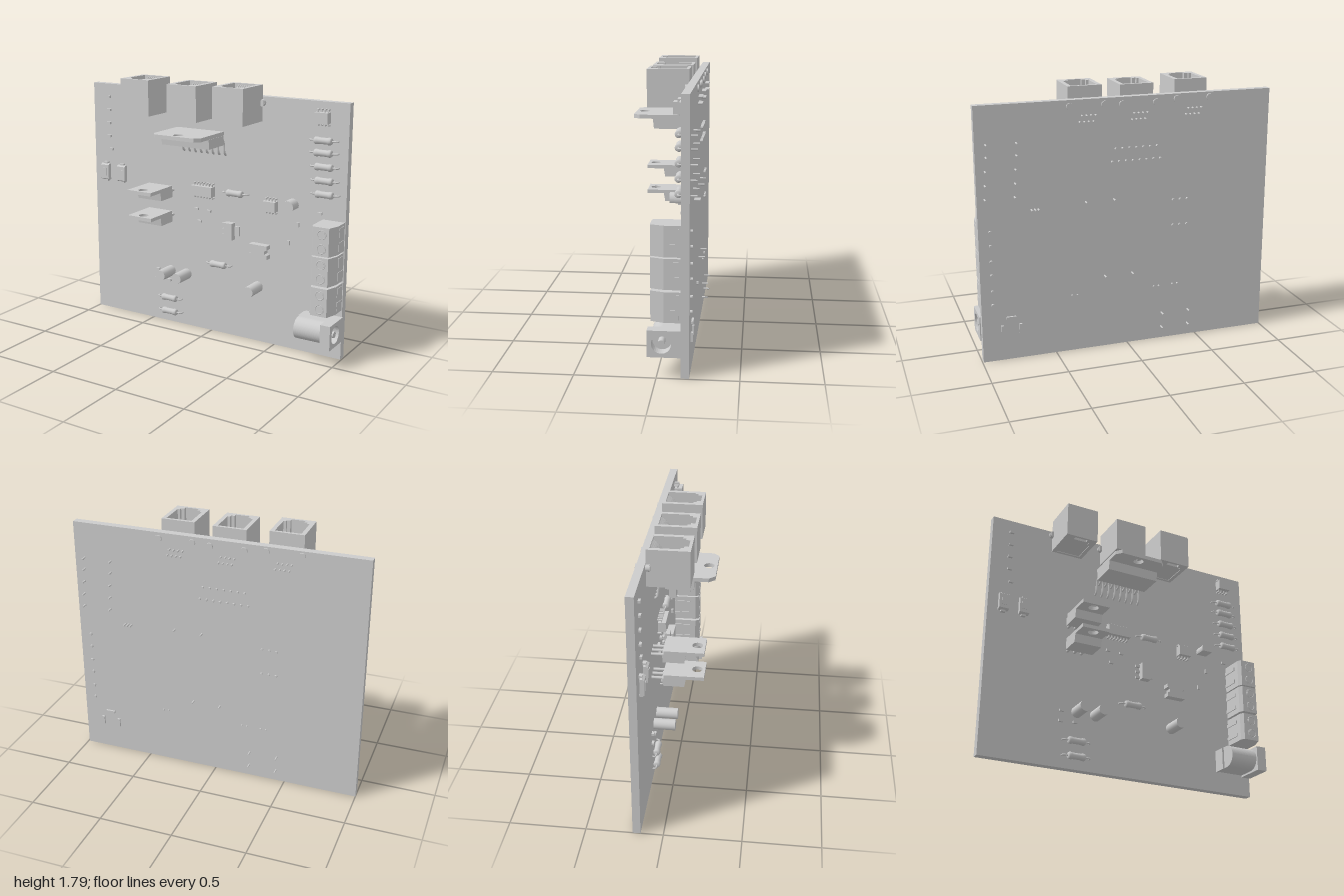
import * as THREE from 'three';

const grey = new THREE.MeshStandardMaterial({ color: 0xcccccc });
grey.name = 'light grey';

const FACE = -0.146, BACK = -0.197; // front and back of the board

export function createModel() {
  const root = new THREE.Group();
  root.name = 'circuitBoard';

  const add = (name, geo) => {
    const m = new THREE.Mesh(geo, grey);
    m.name = name;
    root.add(m);
    return m;
  };
  const box = (name, x0, x1, y0, y1, z0, z1) =>
    add(name, new THREE.BoxGeometry(x1 - x0, y1 - y0, z1 - z0))
      .position.set((x0 + x1) / 2, (y0 + y1) / 2, (z0 + z1) / 2);
  // cylinder between two points
  const rod = (name, a, b, r, n = 12) => {
    const p = new THREE.Vector3(...a), q = new THREE.Vector3(...b), d = q.clone().sub(p);
    const m = add(name, new THREE.CylinderGeometry(r, r, d.length(), n));
    m.position.copy(p).add(q).multiplyScalar(0.5);
    m.quaternion.setFromUnitVectors(new THREE.Vector3(0, 1, 0), d.normalize());
  };
  const pin = (x, y, z = -0.238, r = 0.006) => rod('solderPin', [x, y, BACK + 0.01], [x, y, z], r, 8);
  const poly = pts => new THREE.Shape(pts.map(p => new THREE.Vector2(...p)));
  const circle = (x, y, r) => new THREE.Path().absarc(x, y, r, 0, Math.PI * 2);
  const opts = depth => ({ depth, bevelEnabled: false, curveSegments: 16 });
  // shape drawn as (x, -z), raised from y0 to y1
  const upright = (name, shape, x, y0, y1) =>
    add(name, new THREE.ExtrudeGeometry(shape, opts(y1 - y0)).rotateX(-Math.PI / 2)).position.set(x, y0, 0);
  // shape drawn as (-z, y), running from x0 to x1
  const sideways = (name, shape, x0, x1) =>
    add(name, new THREE.ExtrudeGeometry(shape, opts(x1 - x0)).rotateY(Math.PI / 2)).position.set(x0, 0, 0);
  const tube = (name, pts, r) => add(name, new THREE.TubeGeometry(
    new THREE.CatmullRomCurve3(pts.map(p => new THREE.Vector3(...p))), 10, r, 6));

  box('board', -1, 0.993, 0, 1.703, BACK, FACE);

  // Modular sockets, open at the top
  for (const [x, y0, y1] of [[-0.452, 1.545, 1.787], [-0.079, 1.535, 1.773], [0.269, 1.54, 1.78]]) {
    const s = poly([[-0.113, 0.145], [-0.113, -0.12], [0.113, -0.12], [0.113, 0.145]]);
    s.holes.push(poly([[-0.085, 0.125], [0.085, 0.125], [0.085, -0.055], [0.068, -0.055], [0.068, -0.075],
      [0.045, -0.075], [0.045, -0.102], [-0.045, -0.102], [-0.045, -0.075], [-0.068, -0.075],
      [-0.068, -0.055], [-0.085, -0.055]]));
    upright('socketShell', s, x, y0, y1);
    box('socketFloor', x - 0.086, x + 0.086, y0 + 0.004, y0 + 0.05, -0.126, 0.07);
    for (let i = 0; i < 8; i++) {
      const px = x - 0.053 + i * 0.015;
      tube('socketContact', [[px, y1 - 0.01, -0.13], [px, y1 - 0.04, -0.09], [px, y0 + 0.05, -0.01]], 0.004);
      pin(px, i % 2 ? y0 + 0.02 : y0 + 0.06, -0.225);
    }
    for (const sx of [-1, 1]) {
      box('socketLug', x + sx * 0.118 - 0.012, x + sx * 0.118 + 0.012, y1 - 0.135, y1 - 0.1, FACE, -0.115);
      rod('socketPeg', [x + sx * 0.115, y1 - 0.117, -0.12], [x + sx * 0.115, y1 - 0.117, -0.207], 0.023, 16);
    }
  }

  // Wide power driver with metal tab
  const wide = poly([[-0.184, 0.085], [-0.184, -0.2], [-0.15, -0.24], [0.15, -0.24], [0.184, -0.2], [0.184, 0.085]]);
  wide.holes.push(circle(0, -0.187, 0.034));
  upright('driverTab', wide, -0.059, 1.43, 1.456);
  sideways('driverBody', poly([[0.08, 1.43], [-0.112, 1.43], [-0.105, 1.365], [0.075, 1.365]]), -0.243, 0.127);
  for (let i = 0; i < 15; i++) {
    const x = -0.225 + i * 0.0236, long = i % 2 === 0, y = long ? 1.285 : 1.37;
    if (long) tube('driverLead', [[x, 1.4, -0.075], [x, 1.4, -0.1], [x, 1.37, -0.118], [x, 1.3, -0.13], [x, y, -0.15]], 0.008);
    else tube('driverLead', [[x, 1.4, -0.075], [x, 1.397, -0.1], [x, 1.375, -0.12], [x, y, -0.15]], 0.008);
    pin(x, y, -0.215, 0.008);
  }

  // Two regulators with drilled tabs
  for (const [y0, y1] of [[0.96, 1.042], [0.783, 0.863]]) {
    const tab = poly([[-0.096, 0.06], [-0.096, -0.198], [0.096, -0.198], [0.096, 0.06]]);
    tab.holes.push(circle(0, -0.147, 0.034));
    upright('regulatorTab', tab, -0.372, y1 - 0.024, y1);
    sideways('regulatorBody', poly([[0.07, y1 - 0.024], [-0.082, y1 - 0.024], [-0.072, y0], [0.065, y0]]), -0.468, -0.276);
    for (const dx of [-0.05, 0, 0.05]) {
      rod('regulatorLead', [-0.372 + dx, y0 + 0.03, -0.06], [-0.372 + dx, y0 + 0.03, -0.15], 0.01, 8);
      pin(-0.372 + dx, y0 + 0.03, -0.21, 0.01);
    }
  }

  // Axial resistors
  const profile = [[0, -0.061], [0.018, -0.061], [0.024, -0.053], [0.024, -0.036], [0.021, -0.03],
    [0.021, 0.03], [0.024, 0.036], [0.024, 0.053], [0.018, 0.061], [0, 0.061]].map(p => new THREE.Vector2(...p));
  for (const [x, y] of [[0.828, 1.457], [0.83, 1.378], [0.838, 1.288], [0.843, 1.198], [0.848, 1.109],
    [0.19, 1.033], [0.063, 0.508], [-0.346, 0.186], [-0.344, 0.083]]) {
    add('resistorBody', new THREE.LatheGeometry(profile, 14).rotateZ(Math.PI / 2)).position.set(x, y, -0.124);
    for (const s of [-1, 1]) {
      tube('resistorLead', [[x + s * 0.055, y, -0.124], [x + s * 0.085, y, -0.124], [x + s * 0.096, y, -0.13], [x + s * 0.096, y, -0.15]], 0.006);
      pin(x + s * 0.096, y);
    }
  }

  // Integrated circuits with pins along both long sides
  for (const [x, y, w, n] of [[0.823, 1.604, 0.09, 4], [-0.057, 1.023, 0.166, 7], [0.466, 0.984, 0.092, 4]]) {
    box('chipBody', x - w / 2, x + w / 2, y - 0.035, y + 0.035, -0.14, -0.088);
    for (let i = 0; i < n; i++) {
      const px = x + (i - (n - 1) / 2) * 0.0235;
      for (const s of [-1, 1]) {
        const e = y + s * 0.042;
        box('chipPinTop', px - 0.005, px + 0.005, e - 0.01, e + 0.01, -0.122, -0.114);
        box('chipPinLeg', px - 0.005, px + 0.005, e + s * 0.008 - 0.004, e + s * 0.008 + 0.004, FACE, -0.114);
      }
    }
  }

  // Half-round transistor
  const half = new THREE.Shape().absarc(0, 0, 0.042, -0.4, Math.PI + 0.4);
  half.closePath();
  add('transistorBody', new THREE.ExtrudeGeometry(half, opts(0.085))).position.set(0.624, 1.012, -0.133);
  for (const dx of [-0.022, 0, 0.022]) {
    rod('transistorLead', [0.624 + dx, 1.015, -0.13], [0.624 + dx, 1.015, -0.15], 0.006, 8);
    pin(0.624 + dx, 1.015);
  }

  // Upright round capacitors
  for (const [x, y] of [[-0.343, 0.39], [-0.208, 0.388], [0.367, 0.396]]) {
    rod('capacitor', [x, y, FACE], [x, y, 0], 0.038, 24);
    for (const s of [-1, 1]) pin(x + s * 0.018, y, -0.21);
  }

  // Surface diodes with tapered bodies
  for (const x of [-0.896, -0.753]) {
    sideways('diodeBody', poly([[0.14, 1.003], [0.125, 1.003], [0.11, 1.012], [0.11, 1.113], [0.125, 1.122], [0.14, 1.122]]), x - 0.034, x + 0.034);
    box('diodeCap', x - 0.018, x + 0.018, 1.035, 1.09, -0.112, -0.106);
    for (const y of [0.998, 1.127]) box('diodeTerminal', x - 0.016, x + 0.016, y - 0.008, y + 0.008, FACE, -0.124);
  }

  // Tiny chip parts: centre and whether upright
  for (const [x, y, v] of [[-0.865, 1.61], [-0.865, 1.515], [-0.867, 1.42], [-0.865, 1.325], [-0.85, 1.23],
    [-0.122, 0.882], [-0.022, 0.877], [-0.098, 0.795], [-0.452, 0.385], [-0.458, 0.312], [-0.355, 0.317],
    [0.814, 0.977], [0.662, 0.88, 1], [0.595, 0.745, 1]]) {
    const a = v ? 0.008 : 0.015, b = v ? 0.015 : 0.008;
    box('chipPart', x - a, x + a, y - b, y + b, FACE, -0.13);
  }

  // Three-legged surface regulator
  box('smallRegulator', 0.12, 0.186, 0.707, 0.825, -0.142, -0.095);
  box('smallRegulatorTab', 0.186, 0.222, 0.733, 0.8, FACE, -0.132);
  for (const y of [0.724, 0.766, 0.808]) box('smallRegulatorLeg', 0.09, 0.12, y - 0.008, y + 0.008, FACE, -0.13);

  // Notched inductor
  add('inductor', new THREE.ExtrudeGeometry(poly([[-0.068, -0.048], [0.068, -0.048], [0.068, -0.02], [0.05, -0.012],
    [0.05, 0.012], [0.068, 0.02], [0.068, 0.048], [-0.068, 0.048], [-0.068, 0.02], [-0.05, 0.012],
    [-0.05, -0.012], [-0.068, -0.02]]), opts(0.05))).position.set(0.387, 0.66, FACE);

  // Screw terminal blocks
  for (const y0 of [0.347, 0.551, 0.75]) {
    const y1 = y0 + 0.19;
    upright('terminalBlock', poly([[0.835, 0.146], [0.835, -0.01], [0.85, -0.037], [0.962, -0.037], [0.988, 0.045], [0.988, 0.146]]), 0, y0, y1);
    for (const y of [y0 + 0.048, y0 + 0.142]) {
      const ring = add('screwRim', new THREE.TorusGeometry(0.029, 0.003, 6, 24));
      ring.position.set(0.912, y, 0.037);
      rod('screwHead', [0.912, y, 0.03], [0.912, y, 0.04], 0.024, 20);
      box('wireGate', 0.983, 0.991, y - 0.03, y + 0.03, -0.135, -0.06);
      box('blockRib', 0.829, 0.836, y - 0.012, y + 0.012, FACE, -0.03);
      pin(0.917, y, -0.212, 0.011);
    }
  }

  // Barrel power inlet
  const inlet = poly([[0.146, 0.132], [0.146, 0.3], [-0.056, 0.3], [-0.056, 0.132]]);
  inlet.holes.push(circle(0.03, 0.217, 0.06));
  sideways('inletFace', inlet, 0.93, 1.0);
  const barrel = poly([[0.146, 0.145], [0.146, 0.295], [0.03, 0.295]]);
  barrel.absarc(0.03, 0.22, 0.075, Math.PI / 2, Math.PI * 1.5);
  sideways('inletBarrel', barrel, 0.735, 0.93);
  rod('inletPin', [0.92, 0.217, -0.03], [0.995, 0.217, -0.03], 0.022, 16);
  box('inletEnd', 0.722, 0.736, 0.14, 0.29, FACE, -0.06);
  box('inletTab', 0.77, 0.83, 0.295, 0.308, FACE, -0.12);
  for (const [x, y, w, h] of [[0.8, 0.295, 0.032, 0.008], [0.74, 0.215, 0.01, 0.03], [0.86, 0.215, 0.01, 0.03]])
    box('inletSolderTab', x - w, x + w, y - h, y + h, -0.21, BACK + 0.01);

  return root;
}
